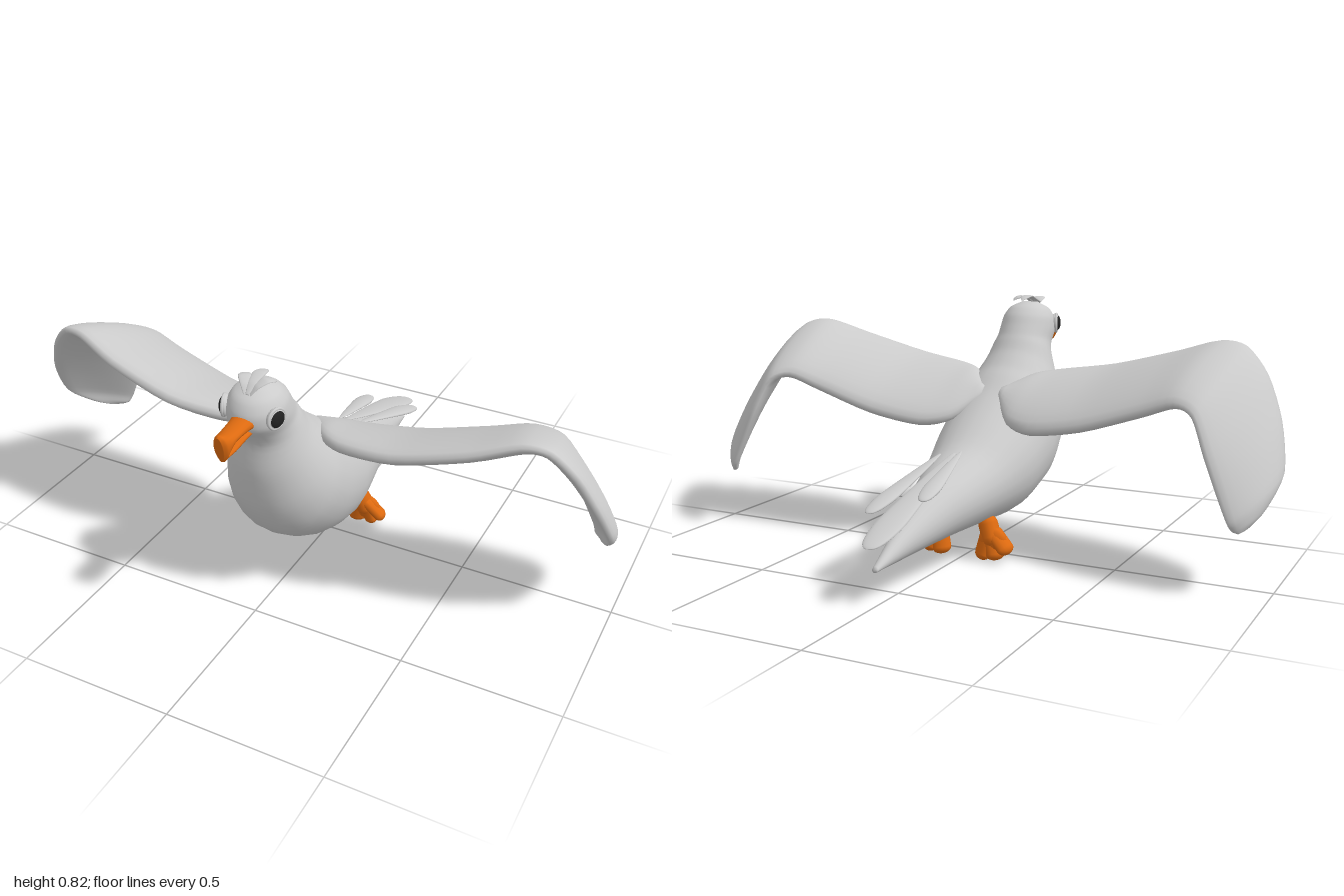
import * as THREE from 'three';

const V = (x, y, z) => new THREE.Vector3(x, y, z);
const grey = new THREE.MeshStandardMaterial({ color: 0xcccccc });
const orange = new THREE.MeshStandardMaterial({ color: 0xdd6a10 });
const black = new THREE.MeshStandardMaterial({ color: 0x222222 });

function add(parent, name, geometry, material = grey) {
  const mesh = new THREE.Mesh(geometry, material);
  mesh.name = name;
  parent.add(mesh);
  return mesh;
}

// Smooth closed skin through rings of equal point count, with capped ends
function loft(keyRings, steps) {
  const n = keyRings[0].length;
  const columns = keyRings[0].map((_, j) => new THREE.CatmullRomCurve3(keyRings.map(r => r[j]), false, 'catmullrom', 0.4));
  const points = [], index = [];
  for (let i = 0; i <= steps; i++) for (const c of columns) points.push(c.getPoint(i / steps));
  for (let i = 0; i < steps; i++) for (let j = 0; j < n; j++) {
    const a = i * n + j, b = i * n + (j + 1) % n;
    index.push(a, b, a + n, b, b + n, a + n);
  }
  [0, steps].forEach((row, end) => {
    const centre = V(0, 0, 0);
    for (let j = 0; j < n; j++) centre.addScaledVector(points[row * n + j], 1 / n);
    const c = points.push(centre) - 1;
    for (let j = 0; j < n; j++) {
      const a = row * n + j, b = row * n + (j + 1) % n;
      index.push(c, end ? a : b, end ? b : a);
    }
  });
  // Turn the faces outward if the enclosed volume is negative
  let volume = 0;
  for (let i = 0; i < index.length; i += 3) {
    volume += points[index[i]].dot(points[index[i + 1]].clone().cross(points[index[i + 2]]));
  }
  if (volume < 0) index.reverse();
  const g = new THREE.BufferGeometry().setFromPoints(points);
  g.setIndex(index);
  g.computeVertexNormals();
  return g;
}

// Elliptical ring from a lower/front point, an upper/back point and a half width
function ovalRing([z1, y1, z2, y2, w], n = 24) {
  return Array.from({ length: n }, (_, j) => {
    const a = j / n * Math.PI * 2, c = Math.cos(a);
    return V(w * Math.sin(a), (y1 + y2) / 2 + (y1 - y2) / 2 * c, (z1 + z2) / 2 + (z1 - z2) / 2 * c);
  });
}

// Flat rounded blade from one point to another, widest towards the far end
function blade(from, to, width, thick) {
  const dir = to.clone().sub(from), length = dir.length();
  const profile = [[0.12, 0], [0.4, 0.15], [0.7, 0.4], [0.95, 0.65], [1, 0.78], [0.8, 0.91], [0.45, 0.98], [0, 1]]
    .map(([r, t]) => new THREE.Vector2(r, t * length));
  const g = new THREE.LatheGeometry(new THREE.SplineCurve(profile).getPoints(20), 16);
  const y = dir.normalize(), x = y.clone().cross(V(0, 1, 0)).normalize(), z = x.clone().cross(y);
  g.scale(width, 1, thick);
  g.applyMatrix4(new THREE.Matrix4().makeBasis(x, y, z).setPosition(from));
  return g;
}

function limb(from, to, radius, depth) {
  const dir = to.clone().sub(from);
  const g = new THREE.CapsuleGeometry(radius, dir.length(), 6, 12);
  g.scale(1, 1, depth);
  g.applyQuaternion(new THREE.Quaternion().setFromUnitVectors(V(0, 1, 0), dir.normalize()));
  const mid = from.clone().add(to).multiplyScalar(0.5);
  return g.translate(mid.x, mid.y, mid.z);
}

// Leading and trailing edge points of each wing section, then thickness and camber
const wingSections = [
  [.03, .53, .16, .03, .51, .12, .02, .005],
  [.11, .565, .27, .10, .44, .03, .07, .01],
  [.20, .575, .33, .20, .42, -.015, .085, .015],
  [.38, .60, .357, .38, .45, -.035, .085, .015],
  [.60, .66, .335, .58, .515, -.045, .08, .012],
  [.74, .708, .298, .69, .553, -.06, .07, .005],
  [.82, .70, .28, .755, .53, -.085, .06, .003],
  [.895, .62, .25, .805, .42, -.115, .06, .008],
  [.955, .49, .195, .85, .31, -.125, .055, .018],
  [.988, .35, .11, .882, .235, -.128, .045, .02],
  [.962, .26, .01, .895, .21, -.115, .035, .012],
  [.935, .22, -.05, .91, .202, -.105, .015, .003],
];

function wingGeometry(side) {
  const lead = wingSections.map(s => V(s[0] * side, s[1], s[2]));
  const trail = wingSections.map(s => V(s[3] * side, s[4], s[5]));
  const mids = lead.map((p, i) => p.clone().add(trail[i]).multiplyScalar(0.5));
  const last = mids.length - 1, n = 24;
  const rings = wingSections.map((s, i) => {
    const span = mids[Math.min(i + 1, last)].clone().sub(mids[Math.max(i - 1, 0)]);
    const half = lead[i].clone().sub(trail[i]).multiplyScalar(0.5);
    const normal = half.clone().cross(span).multiplyScalar(side).normalize();
    return Array.from({ length: n }, (_, j) => {
      const a = j / n * Math.PI * 2, c = Math.cos(a), sn = Math.sin(a);
      const lift = s[6] / 2 * Math.sign(sn) * Math.abs(sn) ** 0.8 + s[7] * (1 - c * c);
      return mids[i].clone().addScaledVector(half, c).addScaledVector(normal, lift);
    });
  });
  return loft(rings, 44);
}

export function createModel() {
  const bird = new THREE.Group();
  bird.name = 'bird';

  // Body, neck and head in one skin from tail tip to crown
  const bodySections = [
    [-.632, .105, -.625, .122, .010],
    [-.45, .107, -.46, .21, .045],
    [-.25, .111, -.28, .30, .095],
    [-.05, .108, -.10, .37, .145],
    [.12, .106, .02, .45, .182],
    [.28, .158, .12, .52, .197],
    [.40, .25, .18, .57, .188],
    [.458, .36, .22, .60, .163],
    [.482, .50, .265, .645, .125],
    [.478, .60, .29, .68, .103],
    [.50, .645, .305, .70, .094],
    [.533, .685, .325, .73, .094],
    [.537, .73, .345, .76, .088],
    [.515, .77, .375, .785, .068],
    [.47, .797, .415, .800, .028],
  ];
  add(bird, 'body', loft(bodySections.map(s => ovalRing(s)), 56));

  // Beak
  const upper = [[.51, .685, .51, .737, .042], [.55, .69, .545, .73, .034], [.60, .69, .605, .724, .03],
    [.625, .672, .632, .729, .029], [.637, .645, .65, .735, .024], [.645, .647, .66, .73, .012]];
  const lower = [[.51, .67, .51, .693, .03], [.55, .665, .55, .69, .027], [.60, .655, .60, .676, .022], [.642, .65, .642, .66, .012]];
  add(bird, 'upperBeak', loft(upper.map(s => ovalRing(s, 16)), 24), orange);
  add(bird, 'lowerBeak', loft(lower.map(s => ovalRing(s, 16)), 12), orange);

  // Curved crest feathers fanning from the forehead
  const crest = [[.006, .783, .004, .788, .007], [-.025, .804, -.025, .811, .017], [-.065, .816, -.065, .823, .024],
    [-.095, .811, -.095, .818, .017], [-.112, .806, -.112, .809, .004]];
  for (const k of [-1, 0, 1]) {
    const feather = add(bird, 'crestFeather', loft(crest.map(s => ovalRing(s, 12)), 20));
    feather.position.set(k * .008, k ? -.004 : 0, .49);
    feather.rotation.y = -k * .55;
    feather.scale.set(.85, 1, k ? .75 : 1);
  }

  // Tail feathers
  add(bird, 'tailFeather', blade(V(0, .36, -.14), V(.008, .18, -.657), .05, .010));
  add(bird, 'tailFeather', blade(V(.045, .355, -.15), V(.095, .24, -.515), .034, .010));
  add(bird, 'tailFeather', blade(V(-.02, .365, -.13), V(-.055, .28, -.45), .030, .010));

  for (const side of [-1, 1]) {
    add(bird, side > 0 ? 'leftWing' : 'rightWing', wingGeometry(side));

    // Eye with its rim
    const eye = new THREE.Group();
    eye.name = side > 0 ? 'leftEye' : 'rightEye';
    add(eye, 'eyeball', new THREE.SphereGeometry(.034, 24, 16).scale(1, 1, .45));
    add(eye, 'eyeRim', new THREE.TorusGeometry(.031, .005, 8, 28).translate(0, 0, .004));
    add(eye, 'pupil', new THREE.SphereGeometry(.027, 24, 16).scale(1, 1, .5).translate(0, 0, .006), black);
    eye.position.set(side * .082, .723, .482);
    eye.rotation.y = side * 1.25;
    bird.add(eye);

    // Leg and webbed foot
    const foot = new THREE.Group();
    foot.name = side > 0 ? 'leftFoot' : 'rightFoot';
    add(foot, 'leg', limb(V(side * .088, .12, -.07), V(side * .105, .08, -.08), .034, .95), orange);
    for (const [x, y] of [[.075, .026], [.122, .03], [.157, .052]]) {
      add(foot, 'toe', limb(V(side * (.07 + x * .28), .095, -.078), V(side * x, y, -.087), .021, 1.5), orange);
    }
    add(foot, 'web', new THREE.SphereGeometry(.05, 16, 12).scale(1, .9, .5).translate(side * .11, .072, -.083), orange);
    foot.position.y = -.002;
    bird.add(foot);
  }
  return bird;
}
